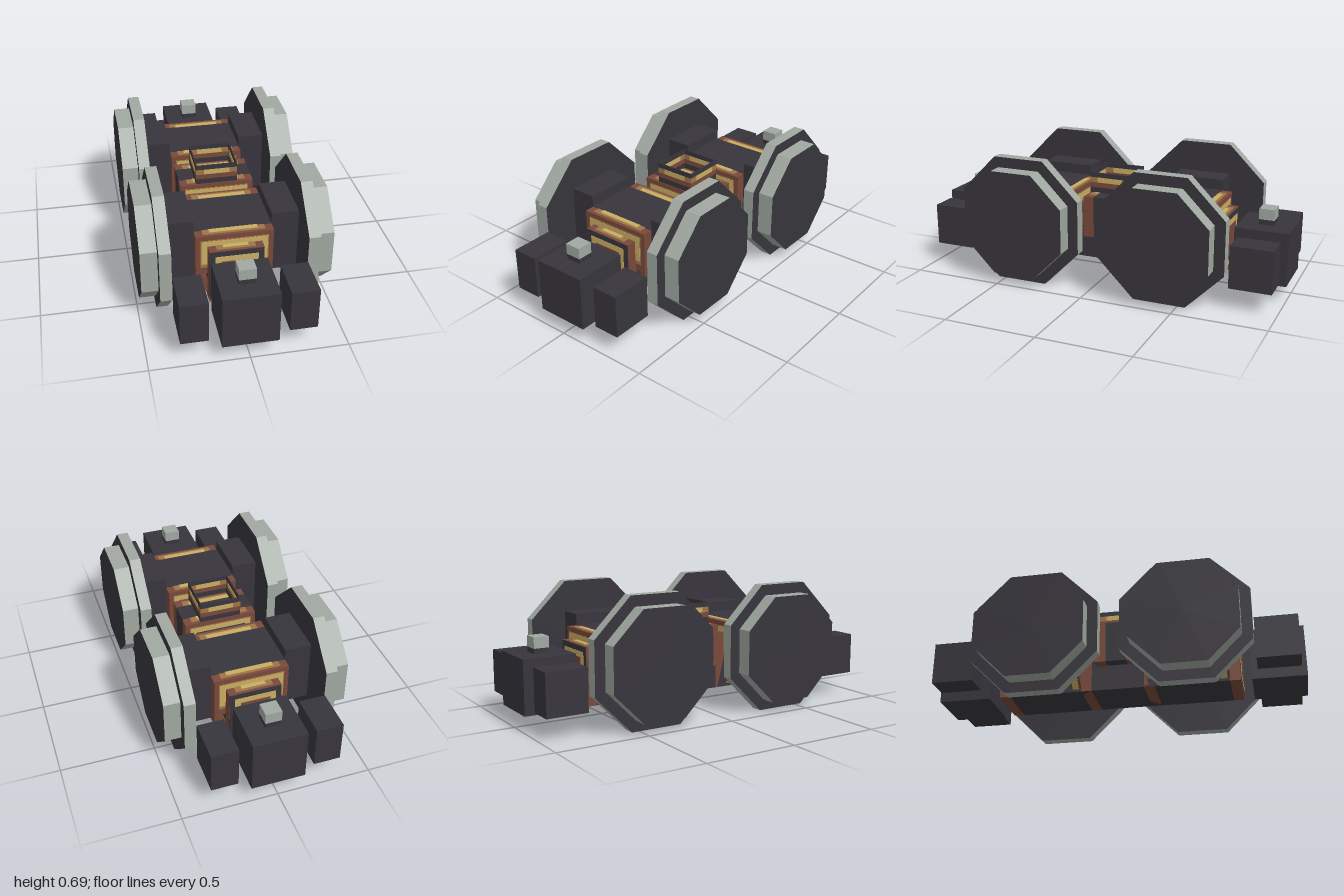
import * as THREE from 'three';

const mat = (name, color) => Object.assign(new THREE.MeshStandardMaterial({ color }), { name });

export function createModel() {
  const dark = mat('charcoal', 0x37353c);
  const steel = mat('steel grey', 0xa0a8a1);
  const brown = mat('copper brown', 0x78493a);
  const tan = mat('tan', 0x9f7448);
  const gold = mat('gold', 0xc9ad62);
  const model = new THREE.Group();
  model.name = 'wheeledTruck';

  // Box given by its lower and upper limits on each axis
  function box(parent, name, m, [x0, x1], [y0, y1], [z0, z1]) {
    const mesh = new THREE.Mesh(new THREE.BoxGeometry(x1 - x0, y1 - y0, z1 - z0), m);
    mesh.position.set((x0 + x1) / 2, (y0 + y1) / 2, (z0 + z1) / 2);
    mesh.name = name;
    parent.add(mesh);
    return mesh;
  }

  // Octagonal disc on the x axis with steel rim and dark faces
  function disc(parent, name, apothem, x0, x1, z) {
    let g = new THREE.CylinderGeometry(1, 1, x1 - x0, 8);
    g.rotateY(Math.PI / 8);
    g.rotateZ(Math.PI / 2);
    const r = apothem / Math.cos(Math.PI / 8);
    g.scale(1, r, r);
    g = g.toNonIndexed();
    g.computeVertexNormals();
    const mesh = new THREE.Mesh(g, [steel, dark, dark]);
    mesh.position.set((x0 + x1) / 2, 0.343, z);
    mesh.name = name;
    parent.add(mesh);
  }

  // Winding layer: a brown block with banded top and outer face; dir is the way it faces in z
  function winding(parent, name, hw, y0, y1, zIn, zOut, dir, bands) {
    const g = new THREE.Group();
    g.name = name;
    const span = (a, b) => [Math.min(a, b), Math.max(a, b)];
    box(g, 'windingBlock', brown, [-hw, hw], [y0, y1], span(zIn, zOut));
    const tops = [[tan, hw - 0.04, 0.042], [gold, hw - 0.075, 0.028]];
    tops.forEach(([m, w, d], i) =>
      box(g, 'topBand', m, [-w, w], [y1, y1 + 0.002 * (i + 1)], span(zIn, zIn + dir * d)));
    bands.forEach(([m, inset, low], i) =>
      box(g, 'faceBand', m, [-hw + inset, hw - inset], [y0 + low, y1 - inset],
        span(zOut, zOut + dir * 0.002 * (i + 1))));
    parent.add(g);
  }
  const upperBands = [[tan, 0.025, 0.04], [gold, 0.03, 0.06]];
  const lowerBands = [[dark, 0.001, 0.02], [gold, 0.03, 0.03], [brown, 0.06, 0.06]];

  // Slanting strut profile joining the upper winding to the lower beam
  const strutShape = new THREE.Shape([[0.12, 0.09], [0.2, 0.165], [0.2, 0.23], [0.178, 0.23], [0.12, 0.172]]
    .map(([x, y]) => new THREE.Vector2(x, y)));
  const strutGeo = new THREE.ExtrudeGeometry(strutShape, { depth: 0.06, bevelEnabled: false });
  strutGeo.translate(0, 0, -0.03);

  function truck(s) {
    const g = new THREE.Group();
    g.name = s > 0 ? 'frontTruck' : 'rearTruck';
    const zr = (a, b) => (s > 0 ? [a, b] : [-b, -a]);
    box(g, 'core', dark, [-0.2, 0.2], [0.23, 0.46], zr(0.26, 0.545));

    // Two stepped windings on each end of the core
    for (const d of [1, -1]) {
      const at = (o) => s * (0.4 + d * o);
      winding(g, 'upperWinding', 0.2, 0.23, 0.458, at(0.142), at(0.2), s * d, upperBands);
      winding(g, 'lowerWinding', 0.14, 0.09, 0.4, at(0.2), at(0.257), s * d, lowerBands);
      for (const side of [1, -1]) {
        const strut = new THREE.Mesh(strutGeo, brown);
        strut.name = 'strut';
        strut.position.z = at(0.17);
        if (side < 0) strut.rotation.y = Math.PI;
        g.add(strut);
        // Gold band on the underside of the strut
        const band = box(g, 'strutBand', gold, [-0.04, 0.04], [-0.002, 0.002], [-0.017, 0.017]);
        band.position.set(side * 0.165, 0.131, at(0.17));
        band.rotation.z = side * Math.atan2(0.075, 0.08);
      }
    }

    // Axle boxes, stepped wheels and end side blocks
    for (const side of [1, -1]) {
      const xr = (a, b) => (side > 0 ? [a, b] : [-b, -a]);
      box(g, 'axleBox', dark, xr(0.2, 0.341), [0.17, 0.518], zr(0.257, 0.545));
      disc(g, 'wheelFlange', 0.343, ...xr(0.341, 0.402), s * 0.4);
      disc(g, 'wheelHub', 0.286, ...xr(0.402, 0.488), s * 0.4);
      box(g, 'sideBlock', dark, xr(0.2, 0.341), [0.117, 0.345], zr(0.748, 0.972));
    }

    // End block with a small knob
    box(g, 'endBlock', dark, [-0.142, 0.142], [0.088, 0.375], zr(0.715, 1));
    box(g, 'knobBase', dark, [-0.042, 0.042], [0.375, 0.402], zr(0.817, 0.898));
    box(g, 'knob', steel, [-0.043, 0.043], [0.402, 0.46], zr(0.816, 0.899));
    model.add(g);
  }
  truck(1);
  truck(-1);

  // Long lower beam and middle crossbeam
  box(model, 'lowerBeam', dark, [-0.14, 0.14], [0.09, 0.398], [-0.6, 0.6]);
  box(model, 'crossbeam', dark, [-0.2, 0.2], [0.23, 0.46], [-0.056, 0.056]);
  for (const d of [1, -1])
    winding(model, 'middleWinding', 0.2, 0.23, 0.458, d * 0.056, d * 0.115, d, upperBands);

  // Open square collar with banded walls
  const collar = new THREE.Group();
  collar.name = 'collar';
  const rows = [[dark, 0.46, 0.49], [brown, 0.49, 0.517], [tan, 0.517, 0.547], [dark, 0.547, 0.573]];
  for (let i = 0; i < 4; i++) {
    const wall = new THREE.Group();
    wall.name = 'collarWall';
    wall.rotation.y = i * Math.PI / 2;
    for (const [m, y0, y1] of rows)
      box(wall, 'wallBand', m, [-0.113, 0.113], [y0, y1], [0.107, 0.113]);
    box(wall, 'goldBand', gold, [-0.07, 0.07], [0.519, 0.546], [0.105, 0.115]);
    collar.add(wall);
  }
  model.add(collar);
  return model;
}
